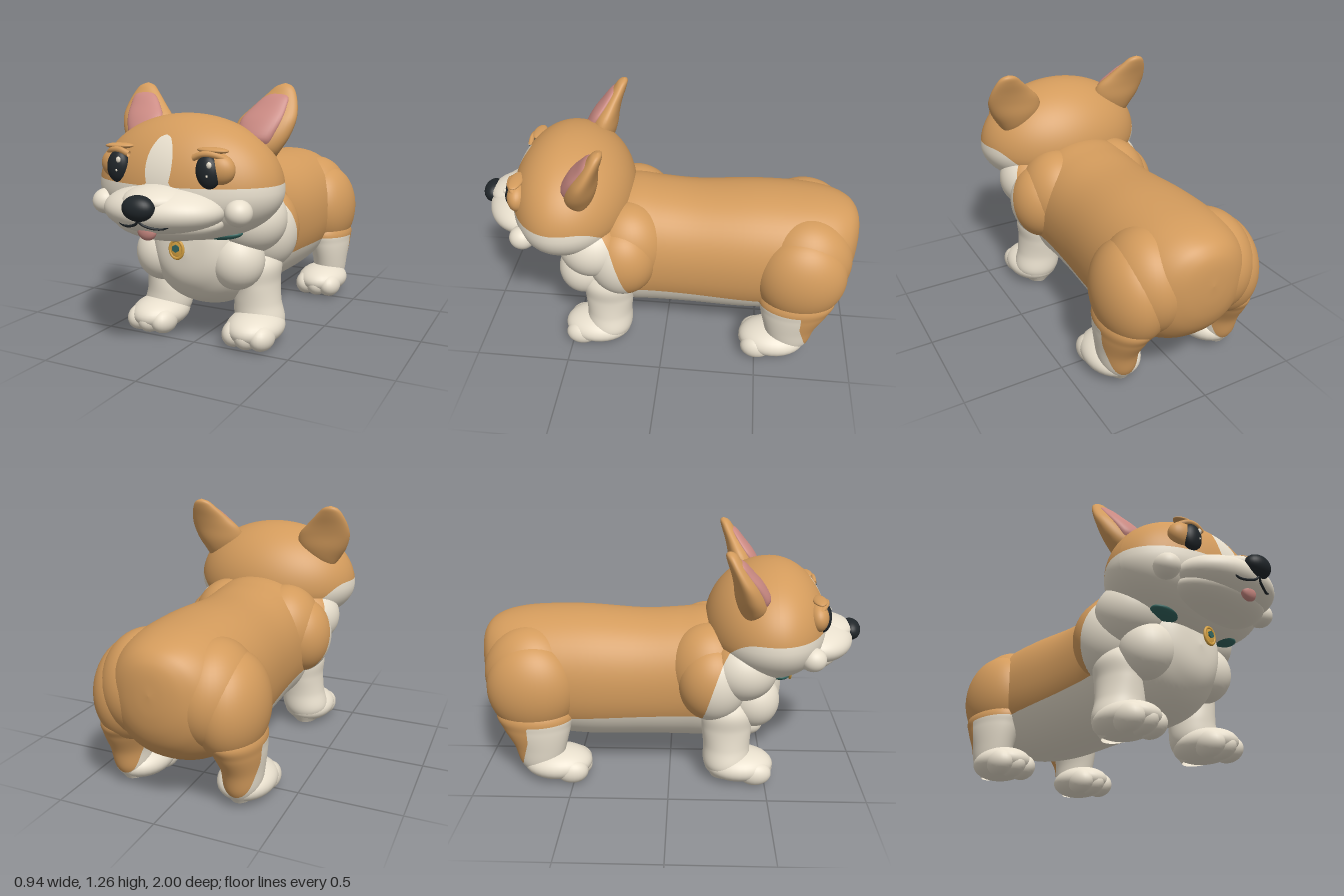
import * as THREE from 'three';

const mat = (color) => new THREE.MeshStandardMaterial({ color, side: THREE.DoubleSide });
const ORANGE = mat(0xd39b5c), CREAM = mat(0xe8dfcd), BLACK = mat(0x20262a);
const PINK = mat(0xcb8a83), TEAL = mat(0x33655f), GOLD = mat(0xd6a140);

// Smooth loft through sections [t, centreX, centreU, radiusX, radiusU];
// runs along z (u = y) or along y (u = z). p squares off the rings.
function loft(sections, axis, { p = 2, steps = 48, seg = 64 } = {}) {
  const centre = new THREE.CatmullRomCurve3(sections.map((s) => new THREE.Vector3(s[0], s[1], s[2])));
  const radius = new THREE.CatmullRomCurve3(sections.map((s) => new THREE.Vector3(s[3], s[4], 0)));
  centre.curveType = radius.curveType = 'catmullrom';
  const pos = [], idx = [];
  const round = (v) => Math.sign(v) * Math.abs(v) ** (2 / p);
  for (let i = 0; i <= steps; i++) {
    const c = centre.getPoint(i / steps), r = radius.getPoint(i / steps);
    for (let j = 0; j < seg; j++) {
      const a = (j / seg) * Math.PI * 2;
      const x = c.y + Math.max(r.x, 0.0005) * round(Math.cos(a));
      const u = Math.max(r.y, 0.0005) * round(Math.sin(a));
      if (axis === 'z') pos.push(x, c.z + u, c.x);
      else pos.push(x, c.x, c.z - u);
      if (i === steps) continue;
      const k = i * seg + j, n = i * seg + ((j + 1) % seg);
      idx.push(k, n, k + seg, n, n + seg, k + seg);
    }
  }
  const g = new THREE.BufferGeometry();
  g.setAttribute('position', new THREE.Float32BufferAttribute(pos, 3));
  g.setIndex(idx);
  g.computeVertexNormals();
  return g;
}

// Ellipsoid with its position and tilt baked in
function blob([x, y, z], [rx, ry, rz], tilt = 0, detail = 32) {
  return new THREE.SphereGeometry(1, detail, Math.round(detail * 0.7))
    .scale(rx, ry, rz).rotateZ(tilt).translate(x, y, z);
}

// Cuts a geometry along field = 0 into an orange and a cream mesh
function twoTone(name, geometry, field) {
  const g = geometry.toNonIndexed(), P = g.attributes.position, N = g.attributes.normal;
  const group = new THREE.Group();
  group.name = name;
  for (const [sign, material, label] of [[1, ORANGE, 'Orange'], [-1, CREAM, 'Cream']]) {
    const pos = [], nor = [];
    for (let i = 0; i < P.count; i += 3) {
      const tri = [0, 1, 2].map((k) => {
        const v = new THREE.Vector3().fromBufferAttribute(P, i + k);
        return { v, n: new THREE.Vector3().fromBufferAttribute(N, i + k), f: sign * field(v) };
      });
      const poly = [];
      tri.forEach((a, k) => {
        const b = tri[(k + 1) % 3];
        if (a.f >= 0) poly.push(a);
        if (a.f >= 0 !== b.f >= 0) {
          const t = a.f / (a.f - b.f);
          poly.push({ v: a.v.clone().lerp(b.v, t), n: a.n.clone().lerp(b.n, t).normalize() });
        }
      });
      for (let k = 1; k + 1 < poly.length; k++)
        for (const q of [poly[0], poly[k], poly[k + 1]]) {
          pos.push(...q.v.toArray());
          nor.push(...q.n.toArray());
        }
    }
    if (!pos.length) continue;
    const out = new THREE.BufferGeometry();
    out.setAttribute('position', new THREE.Float32BufferAttribute(pos, 3));
    out.setAttribute('normal', new THREE.Float32BufferAttribute(nor, 3));
    const mesh = new THREE.Mesh(out, material);
    mesh.name = name + label;
    group.add(mesh);
  }
  return group;
}

// Coat pattern: positive is orange, negative cream
const coat = ({ y, z }) => Math.max(
  y - Math.max(0.365 + 0.04 * z, 0.82 - 18 * Math.max(0, 0.46 - z) ** 3),
  -0.72 - z - 0.3 * Math.max(0, 0.25 - y));
const headCoat = (v) => {
  const blaze = v.z > 0.5 ? Math.hypot(v.x / 0.066, (v.y - 0.905) / 0.135) - 1 : 1;
  return Math.min(coat(v), blaze * 0.07);
};

export function createModel() {
  const model = new THREE.Group();
  model.name = 'dog';
  const add = (name, geometry, material) => {
    const mesh = new THREE.Mesh(geometry, material);
    mesh.name = name;
    model.add(mesh);
  };
  const tube = (pts, r) => new THREE.TubeGeometry(
    new THREE.CatmullRomCurve3(pts.map((p) => new THREE.Vector3(...p))), 24, r, 8);

  // Torso: [z, half width, bottom, top]
  const torso = [
    [-1, 0, 0.61, 0.61], [-0.992, 0.08, 0.5, 0.71], [-0.97, 0.155, 0.41, 0.765], [-0.925, 0.225, 0.33, 0.805],
    [-0.84, 0.285, 0.25, 0.835], [-0.7, 0.325, 0.19, 0.853], [-0.45, 0.33, 0.155, 0.857], [-0.15, 0.315, 0.155, 0.838],
    [0.05, 0.315, 0.155, 0.848], [0.2, 0.325, 0.155, 0.86], [0.35, 0.3, 0.165, 0.83],
    [0.47, 0.25, 0.215, 0.76], [0.54, 0.195, 0.285, 0.7], [0.58, 0.125, 0.365, 0.62], [0.595, 0, 0.48, 0.48],
  ].map(([z, w, lo, hi]) => [z, 0, (lo + hi) / 2, w, (hi - lo) / 2]);
  model.add(twoTone('torso', loft(torso, 'z', { p: 2.15, steps: 84 }), coat));

  // Head, fuller towards the front
  const skull = blob([0, 0, 0], [0.465, 1, 1], 0, 80);
  const sp = skull.attributes.position;
  for (let i = 0; i < sp.count; i++) {
    const y = sp.getY(i), z = sp.getZ(i);
    sp.setXYZ(i, sp.getX(i), 0.785 + y * (y > 0 ? 0.34 : 0.25), 0.522 + z * (z > 0 ? 0.287 : 0.345));
  }
  skull.computeVertexNormals();
  model.add(twoTone('head', skull, headCoat));

  // Muzzle, nose, tongue
  add('muzzle', blob([0, 0.715, 0.74], [0.292, 0.113, 0.215], 0, 48), CREAM);
  add('lowerJaw', blob([0, 0.662, 0.71], [0.275, 0.094, 0.178], 0, 48), CREAM);
  add('noseBridge', blob([0, 0.762, 0.785], [0.16, 0.07, 0.168]), CREAM);
  add('nose', blob([0, 0.748, 0.946], [0.077, 0.056, 0.054]), BLACK);
  add('tongue', blob([0, 0.64, 0.885], [0.047, 0.042, 0.026]), PINK);

  // Name tag with gem
  add('tag', blob([0, 0.505, 0.645], [0.04, 0.048, 0.01]), GOLD);
  add('tagRim', new THREE.TorusGeometry(0.035, 0.007, 8, 32).scale(1, 1.2, 1).translate(0, 0.505, 0.648), GOLD);
  add('tagGem', new THREE.CylinderGeometry(0.019, 0.019, 0.012, 6).rotateX(Math.PI / 2).translate(0, 0.51, 0.654), TEAL);

  for (const s of [1, -1]) {
    const side = s > 0 ? 'left' : 'right';

    // Face details
    add(side + 'CheekPuff', blob([s * 0.347, 0.715, 0.705], [0.062, 0.06, 0.065]), CREAM);
    add(side + 'Mouth', tube([[0, 0.7, 0.954], [s * 0.015, 0.68, 0.945], [s * 0.06, 0.664, 0.931],
      [s * 0.1, 0.664, 0.916], [s * 0.132, 0.678, 0.908]], 0.006), BLACK);
    add(side + 'Eyelid', blob([s * 0.255, 0.9, 0.725], [0.085, 0.072, 0.055]), ORANGE);
    add(side + 'Eye', blob([s * 0.23, 0.892, 0.757], [0.057, 0.075, 0.042], s * 0.12), BLACK);
    add(side + 'EyeGlint', blob([s * 0.23 + 0.022, 0.925, 0.791], [0.012, 0.014, 0.008], 0, 16), CREAM);
    add(side + 'EyeSmallGlint', blob([s * 0.23 + 0.014, 0.878, 0.797], [0.005, 0.006, 0.004], 0, 12), CREAM);
    add(side + 'Brow', tube([[s * 0.165, 0.95, 0.77], [s * 0.21, 0.967, 0.77], [s * 0.26, 0.965, 0.76],
      [s * 0.305, 0.942, 0.73]], 0.014), ORANGE);
    add(side + 'UpperBrow', blob([s * 0.24, 0.982, 0.732], [0.075, 0.014, 0.035], -s * 0.02), ORANGE);

    // Ear: [y, inner x, outer x, centre z, half depth]
    const ear = [[0.92, 0.26, 0.38, 0.4, 0.04], [0.96, 0.2, 0.41, 0.405, 0.07], [1.02, 0.17, 0.446, 0.39, 0.075],
      [1.09, 0.185, 0.468, 0.367, 0.062], [1.15, 0.24, 0.464, 0.337, 0.046], [1.21, 0.3, 0.443, 0.305, 0.034],
      [1.245, 0.338, 0.418, 0.288, 0.024], [1.26, 0.38, 0.38, 0.28, 0]];
    add(side + 'Ear', loft(ear.map(([y, a, b, z, d]) => [y, s * (a + b) / 2, z, (b - a) / 2, d]), 'y',
      { steps: 32, seg: 40 }), ORANGE);
    const inner = [[0.98, 0.28, 0.37, 0.45, 0.02], [1.02, 0.225, 0.39, 0.445, 0.042], [1.09, 0.215, 0.416, 0.412, 0.038],
      [1.15, 0.255, 0.424, 0.37, 0.03], [1.2, 0.305, 0.418, 0.336, 0.02], [1.218, 0.365, 0.365, 0.322, 0]];
    add(side + 'InnerEar', loft(inner.map(([y, a, b, z, d]) => [y, s * (a + b) / 2, z, (b - a) / 2, d]), 'y',
      { steps: 24, seg: 32 }), PINK);

    // Collar end
    add(side + 'Collar', blob([s * 0.205, 0.579, 0.56], [0.09, 0.024, 0.055], s * 0.12), TEAL);

    // Body masses that carry the legs and neck
    for (const [name, at, size] of [
      ['Shoulder', [0.26, 0.55, 0.22], [0.162, 0.205, 0.18]],
      ['Withers', [0.17, 0.59, 0.2], [0.2, 0.24, 0.22]],
      ['NeckRuff', [0.24, 0.625, 0.37], [0.182, 0.17, 0.18]],
      ['Thigh', [0.25, 0.5, -0.705], [0.17, 0.25, 0.235]],
      ['Haunch', [0.17, 0.55, -0.72], [0.2, 0.255, 0.245]],
    ]) model.add(twoTone(side + name, blob([s * at[0], at[1], at[2]], size, 0, 44), coat));
    add(side + 'ChestTuft', blob([s * 0.205, 0.43, 0.435], [0.135, 0.145, 0.135]), CREAM);

    // Front leg, flaring into the paw
    add(side + 'FrontLeg', loft([[0.02, s * 0.275, 0.3, 0.06, 0.08], [0.1, s * 0.268, 0.3, 0.122, 0.12],
      [0.2, s * 0.254, 0.3, 0.116, 0.122], [0.3, s * 0.26, 0.297, 0.1, 0.13],
      [0.4, s * 0.25, 0.293, 0.112, 0.138], [0.5, s * 0.24, 0.28, 0.06, 0.07]], 'y'), CREAM);

    // Hind leg
    model.add(twoTone(side + 'HindLeg', loft([[0.03, s * 0.285, -0.67, 0.05, 0.07], [0.1, s * 0.29, -0.675, 0.085, 0.11],
      [0.2, s * 0.292, -0.675, 0.098, 0.138], [0.3, s * 0.282, -0.69, 0.118, 0.178],
      [0.38, s * 0.265, -0.7, 0.13, 0.195], [0.5, s * 0.25, -0.7, 0.06, 0.1]], 'y'), coat));

    // Paws with three toes
    for (const [end, x, z] of [['Front', 0.272, 0.365], ['Hind', 0.278, -0.59]]) {
      add(side + end + 'Paw', blob([s * x, 0.088, z], [0.139, 0.083, 0.18]), CREAM);
      for (const k of [-1, 0, 1])
        add(side + end + 'Toe', blob([s * x + k * 0.07, 0.068, z + 0.094 - Math.abs(k) * 0.012],
          [0.062, 0.066, 0.086], 0, 24), CREAM);
    }
  }
  return model;
}
